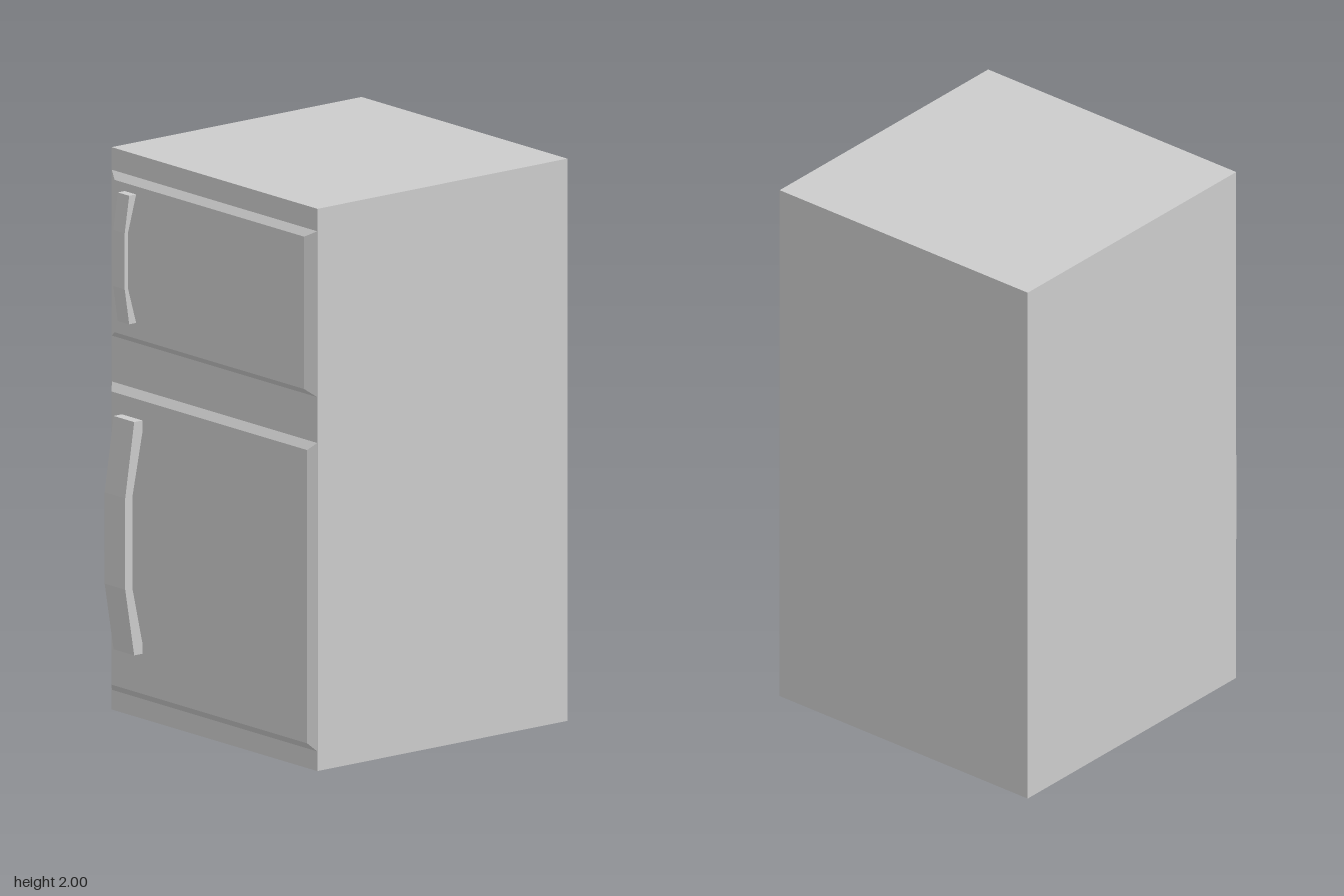
import * as THREE from 'three';

const material = new THREE.MeshStandardMaterial({ color: 0xcccccc, flatShading: true });
const FRONT = 0.507; // front plane of the cabinet
const DOOR = 0.53; // front plane of the doors

function addMesh(group, name, geometry) {
  const mesh = new THREE.Mesh(geometry, material);
  mesh.name = name;
  group.add(mesh);
  return mesh;
}

// Door panel: a box whose front face is inset to form a bevel on all four sides
function doorGeometry(y0, y1, insetX, insetY) {
  const width = 1.118, height = y1 - y0, depth = DOOR - FRONT;
  const geometry = new THREE.BoxGeometry(width, height, depth);
  const p = geometry.attributes.position;
  for (let i = 0; i < p.count; i++) {
    if (p.getZ(i) < 0) continue;
    p.setX(i, p.getX(i) - Math.sign(p.getX(i)) * insetX);
    p.setY(i, p.getY(i) - Math.sign(p.getY(i)) * insetY);
  }
  geometry.translate(0, (y0 + y1) / 2, FRONT + depth / 2);
  geometry.computeVertexNormals();
  return geometry;
}

// Bowed handle: side profile given as [z, y], extruded across x
function handleGeometry(profile, x0, x1) {
  const shape = new THREE.Shape(profile.map(([z, y]) => new THREE.Vector2(-z, y)));
  const geometry = new THREE.ExtrudeGeometry(shape, { depth: x1 - x0, bevelEnabled: false });
  geometry.rotateY(Math.PI / 2);
  geometry.translate(x0, 0, 0);
  return geometry;
}

export function createModel() {
  const group = new THREE.Group();
  group.name = 'refrigerator';

  // Cabinet
  const cabinet = addMesh(group, 'cabinet', new THREE.BoxGeometry(1.12, 2, FRONT + 0.607));
  cabinet.position.set(0, 1, (FRONT - 0.607) / 2);

  // Doors
  addMesh(group, 'freezerDoor', doorGeometry(1.33, 1.92, 0.043, 0.024));
  addMesh(group, 'fridgeDoor', doorGeometry(0.07, 1.167, 0.027, 0.027));

  // Handles on the model's right
  addMesh(group, 'freezerHandle', handleGeometry([
    [0.568, 1.87], [0.588, 1.74], [0.588, 1.54], [0.568, 1.413],
    [0.537, 1.413], [0.573, 1.54], [0.573, 1.74], [0.537, 1.87],
  ], -0.452, -0.39));
  addMesh(group, 'fridgeHandle', handleGeometry([
    [0.567, 1.07], [0.607, 0.805], [0.607, 0.48], [0.567, 0.24],
    [0.522, 0.24], [0.575, 0.48], [0.575, 0.805], [0.522, 1.07],
  ], -0.476, -0.364));

  return group;
}
